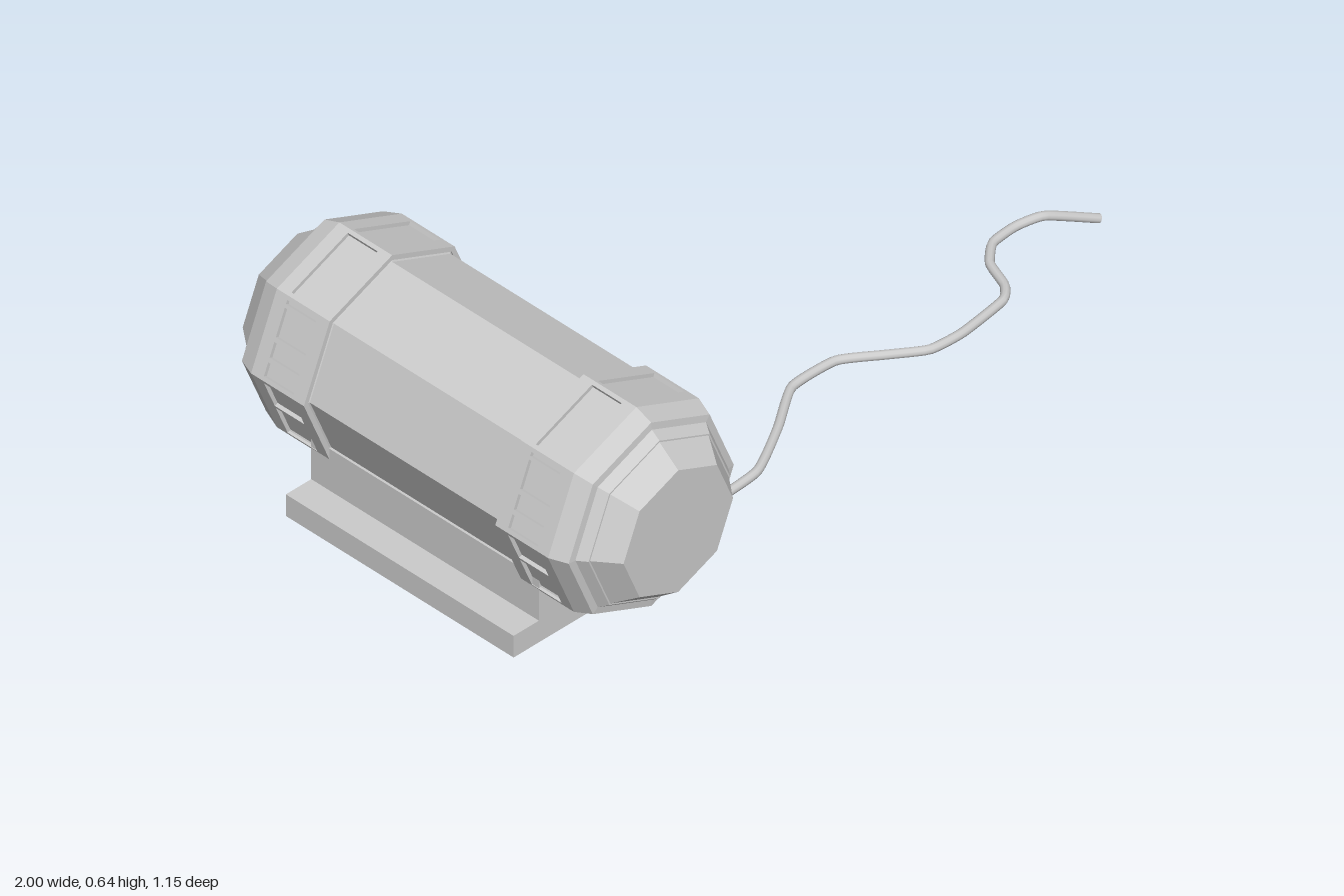
import * as THREE from 'three';

const flat = new THREE.MeshStandardMaterial({ color: 0xcccccc, flatShading: true });
const smooth = new THREE.MeshStandardMaterial({ color: 0xcccccc, side: THREE.DoubleSide });

const CX = -0.737, CY = 0.38; // axis of the octagonal barrel
const RING_R = 0.263, RING_DEPTH = 0.01;

function add(parent, name, geometry, material = flat, x = 0, y = 0, z = 0) {
  const mesh = new THREE.Mesh(geometry, material);
  mesh.name = name;
  mesh.position.set(x, y, z);
  parent.add(mesh);
  return mesh;
}

function polygon(points) {
  return new THREE.Shape(points.map(([x, y]) => new THREE.Vector2(x, y)));
}

function extrude(shape, depth) {
  return new THREE.ExtrudeGeometry(shape, { depth, bevelEnabled: false });
}

function rect(x0, x1, y0, y1) {
  return [[x0, y0], [x1, y0], [x1, y1], [x0, y1]];
}

// Octagonal barrel with stepped, tapered ends
function makeBarrel() {
  const half = [
    [0.245, 0.29], [0.253, 0.295], [0.253, 0.45], [RING_R, 0.45], [0.246, 0.495],
    [0.228, 0.497], [0.211, 0.52], [0.207, 0.52], [0.163, 0.577], [0, 0.577],
  ];
  const profile = [
    ...half.map(([r, z]) => [r, -z]).reverse(),
    ...half,
  ].map(([r, z]) => new THREE.Vector2(r, z));
  return new THREE.LatheGeometry(profile, 8).rotateX(Math.PI / 2);
}

// Raised collar: eight plates with recessed windows
function makeCollar(z) {
  const collar = new THREE.Group();
  const upper = [[0.05, 0.215], [0.27, 0.455], [0.51, 0.86], [0.9, 0.95]];
  const lower = [[0.03, 0.49], [0.53, 0.95]];
  const single = [[0.05, 0.95]];
  const windows = [upper, single, single, upper, lower, single, single, lower];
  const width = 2 * RING_R * Math.sin(Math.PI / 8);
  const apothem = RING_R * Math.cos(Math.PI / 8);
  windows.forEach((list, i) => {
    const a = (i + 0.5) * Math.PI / 4;
    const mirrored = i >= 2 && i <= 5;
    const shape = polygon(rect(-0.08, 0.08, -width / 2, width / 2));
    for (const [u0, u1] of list) {
      const s = mirrored ? 1 : -1;
      const ys = [s * (u0 - 0.5) * width, s * (u1 - 0.5) * width].sort((p, q) => p - q);
      shape.holes.push(polygon(rect(-0.045, 0.045, ys[0], ys[1])));
    }
    const geo = extrude(shape, RING_DEPTH + 0.002);
    geo.translate(0, 0, apothem - RING_DEPTH - 0.002);
    geo.applyMatrix4(new THREE.Matrix4().makeBasis(
      new THREE.Vector3(0, 0, 1),
      new THREE.Vector3(Math.sin(a), -Math.cos(a), 0),
      new THREE.Vector3(Math.cos(a), Math.sin(a), 0)));
    add(collar, 'collarPlate', geo);
  });
  collar.position.set(CX, CY, z);
  return collar;
}

// Keypads on both sides of a screen, laid on the console slope
function makeControls() {
  const controls = new THREE.Group();
  const frame = polygon([[-0.195, -0.048], [0.195, -0.048], [0.172, 0.048], [-0.172, 0.048]]);
  frame.holes.push(polygon([[-0.1, -0.034], [0.1, -0.034], [0.085, 0.04], [-0.085, 0.04]]));
  add(controls, 'controlFrame', extrude(frame, 0.006));
  add(controls, 'screen', new THREE.BoxGeometry(0.2, 0.076, 0.004), flat, 0, 0.003, 0);
  for (const side of [-1, 1]) {
    for (let row = 0; row < 4; row++) {
      for (let col = 0; col < 4; col++) {
        const y = -0.034 + row * 0.0225;
        const x = side * (0.115 + col * 0.02 - row * 0.0055);
        add(controls, 'key', new THREE.BoxGeometry(0.014, 0.016, 0.006), flat, x, y, 0.007);
      }
    }
  }
  const up = new THREE.Vector3(-0.086, 0.08, 0).normalize();
  const out = new THREE.Vector3(up.y, -up.x, 0);
  controls.setRotationFromMatrix(
    new THREE.Matrix4().makeBasis(new THREE.Vector3(0, 0, -1), up, out));
  controls.position.set(-0.467, 0.379, 0);
  return controls;
}

export function createModel() {
  const model = new THREE.Group();
  model.name = 'barrelDevice';

  add(model, 'barrel', makeBarrel(), flat, CX, CY, 0);
  for (const side of [-1, 1]) {
    const collar = makeCollar(side * 0.37);
    collar.name = side > 0 ? 'frontCollar' : 'backCollar';
    model.add(collar);
  }

  // Stand
  add(model, 'basePlate', new THREE.BoxGeometry(0.525, 0.058, 0.69), flat, CX, 0.084, 0);
  add(model, 'cradle', new THREE.BoxGeometry(0.374, 0.12, 0.69), flat, CX, 0.165, 0);

  // Side console
  const console = polygon([
    [-0.6, 0.194], [-0.466, 0.194], [-0.42, 0.29], [-0.42, 0.335], [-0.506, 0.415], [-0.6, 0.415],
  ]);
  add(model, 'sideConsole', extrude(console, 0.58), flat, 0, 0, -0.29);
  const controls = makeControls();
  controls.name = 'controls';
  model.add(controls);

  // Cable with its socket
  add(model, 'socket', new THREE.TorusGeometry(0.018, 0.007, 8, 20).rotateY(Math.PI / 2),
    smooth, -0.472, 0.085, 0.262);
  const path = [
    [-0.485, 0.085, 0.262], [-0.45, 0.08, 0.265], [-0.36, 0.068, 0.268], [-0.19, 0.068, 0.258],
    [-0.05, 0.068, 0.18], [0.07, 0.068, 0.1], [0.2, 0.068, 0.1], [0.29, 0.068, 0.16],
    [0.37, 0.068, 0.213], [0.46, 0.068, 0.22], [0.6, 0.068, 0.2], [0.64, 0.068, 0.165],
    [0.67, 0.068, 0.09], [0.725, 0.068, 0.042], [0.8, 0.068, 0.035], [0.87, 0.068, 0.052],
    [0.995, 0.014, 0.09],
  ].map((p) => new THREE.Vector3(...p));
  const curve = new THREE.CatmullRomCurve3(path, false, 'catmullrom', 0.25);
  add(model, 'cable', new THREE.TubeGeometry(curve, 110, 0.011, 10), smooth);

  return model;
}
